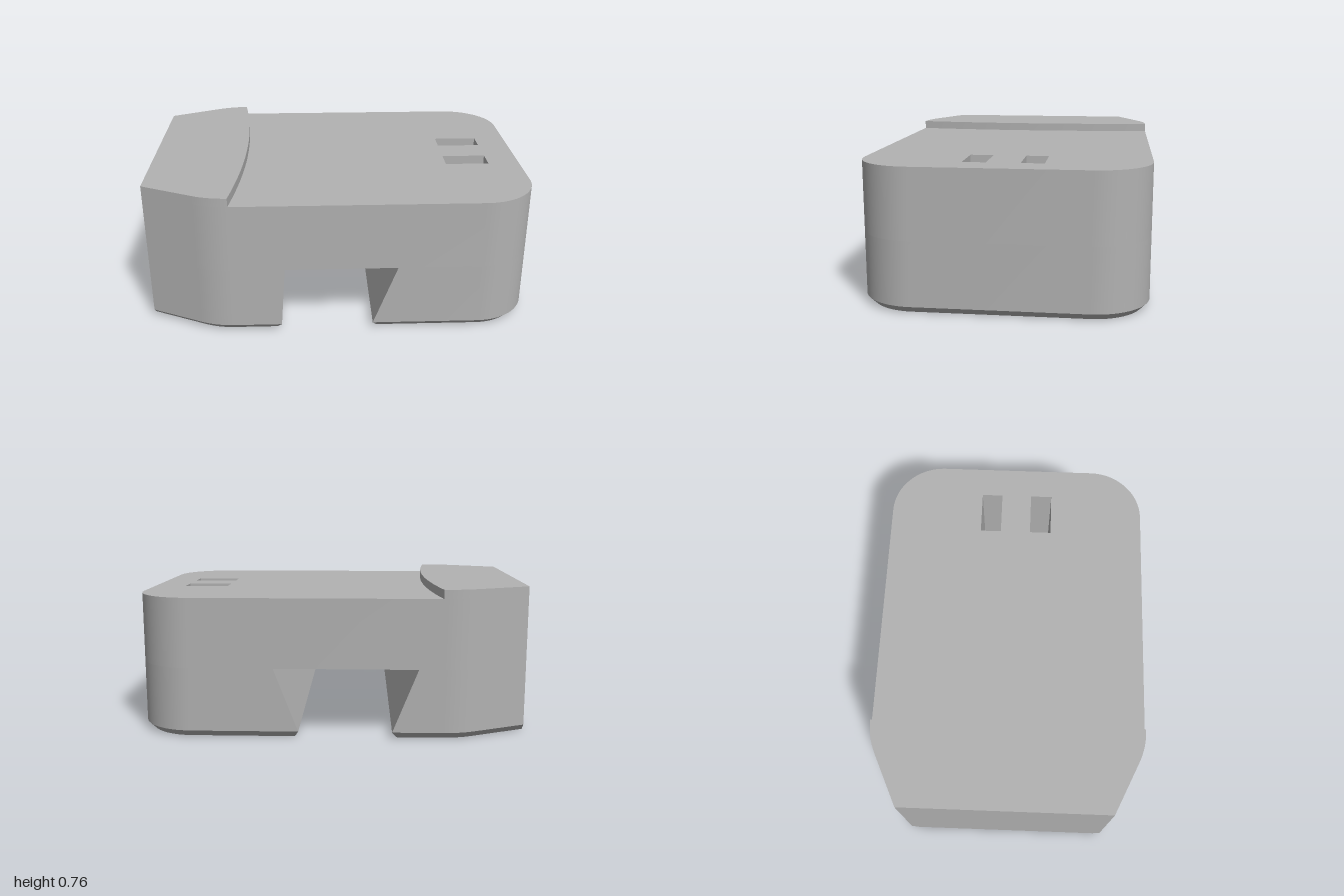
import * as THREE from 'three';
import { mergeGeometries, toCreasedNormals } from 'three/addons/utils/BufferGeometryUtils.js';

const HALF = 0.715, CHAMFER = 0.035, CEILING = 0.36, DECK = 0.715, TOP = 0.76;
const TAPER = THREE.MathUtils.degToRad(25);

// Points [x, z] on an arc, angle measured from +z towards +x
function arc(cx, cz, r, from, to, n) {
  return Array.from({ length: n + 1 }, (_, i) => {
    const a = from + (to - from) * i / n;
    return [cx + r * Math.sin(a), cz + r * Math.cos(a)];
  });
}

// Front halves of the outline, inset by c: tapered end (-x) and rounded end (+x)
const taperedEnd = c => [[-1, 0.55 - c / Math.cos(TAPER)],
  ...arc(-0.56, HALF - 0.4, 0.4 - c, -TAPER, 0, 8)];
const roundedEnd = c => arc(HALF, 0.43, 0.285 - c, 0, Math.PI / 2, 16);

// Shallow curved front of the raised step, from the side towards the middle
const stepArc = Array.from({ length: 12 }, (_, i) => {
  const z = HALF * (1 - i / 12);
  return [-0.5 - 0.055 * (z / HALF) ** 2, z];
});

// Close a front half into a full ring by mirroring it in z
const mirror = half => [...half, ...half.map(([x, z]) => [x, -z]).reverse()];

// Walls between matching rings at rising heights
function loft(levels) {
  const pos = [];
  for (let k = 0; k + 1 < levels.length; k++) {
    const [y0, a] = levels[k], [y1, b] = levels[k + 1];
    a.forEach((p, i) => {
      const j = (i + 1) % a.length;
      const A = [p[0], y0, p[1]], B = [a[j][0], y0, a[j][1]];
      const C = [b[j][0], y1, b[j][1]], D = [b[i][0], y1, b[i][1]];
      pos.push(...A, ...B, ...C, ...A, ...C, ...D);
    });
  }
  const g = new THREE.BufferGeometry();
  g.setAttribute('position', new THREE.Float32BufferAttribute(pos, 3));
  return toCreasedNormals(g, 0.5);
}

// Flat face at height y, facing up or down
function cap(ring, y, up, holes = []) {
  const s = up ? -1 : 1;
  const points = r => r.map(([x, z]) => new THREE.Vector2(x, s * z));
  const shape = new THREE.Shape(points(ring));
  shape.holes = holes.map(h => new THREE.Path(points(h)));
  const g = new THREE.ShapeGeometry(shape).toNonIndexed();
  g.rotateX(s * Math.PI / 2).translate(0, y, 0);
  g.deleteAttribute('uv');
  return g;
}

export function createModel() {
  const group = new THREE.Group();
  const grey = new THREE.MeshStandardMaterial({ color: 0xb2b2b2 });
  grey.name = 'grey';
  const add = (name, ...parts) => {
    const mesh = new THREE.Mesh(mergeGeometries(parts), grey);
    mesh.name = name;
    group.add(mesh);
  };

  // Two rectangular slots running through the rounded end
  const slots = [[-0.2, -0.085], [0.082, 0.2]].map(([z0, z1]) =>
    [[0.595, z0], [0.83, z0], [0.83, z1], [0.595, z1]]);

  // Main body, its deck and the ceiling of the dovetail channel
  const outline = mirror([...taperedEnd(0), ...roundedEnd(0)]);
  const deck = mirror([...[...stepArc].reverse(), ...roundedEnd(0)]);
  const ceiling = mirror([[-0.44, HALF], [0.29, HALF]]);
  add('body', loft([[CEILING, outline], [DECK, outline]]),
    cap(deck, DECK, true, slots), cap(ceiling, CEILING, false));

  // Raised step at the tapered end
  const step = mirror([...taperedEnd(0), ...stepArc]);
  add('raisedStep', loft([[DECK, step], [TOP, step]]), cap(step, TOP, true));

  // Undercut feet with chamfered bottom edges: [height, inset, left x, right x]
  const levels = [[0, CHAMFER, -0.335, 0.185], [CHAMFER, 0, -0.31, 0.165], [CEILING, 0, -0.44, 0.29]];
  const left = levels.map(([y, c, x]) => [y, mirror([...taperedEnd(c), [x, HALF - c]])]);
  const right = levels.map(([y, c, , x]) => [y, mirror([[x, HALF - c], ...roundedEnd(c)])]);
  add('taperedFoot', loft(left), cap(left[0][1], 0, false));
  add('roundedFoot', loft(right), cap(right[0][1], 0, false, slots));

  // Inner walls of the slots
  slots.forEach(s => add('slotWalls', loft([[0, s], [DECK, s]])));

  return group;
}
